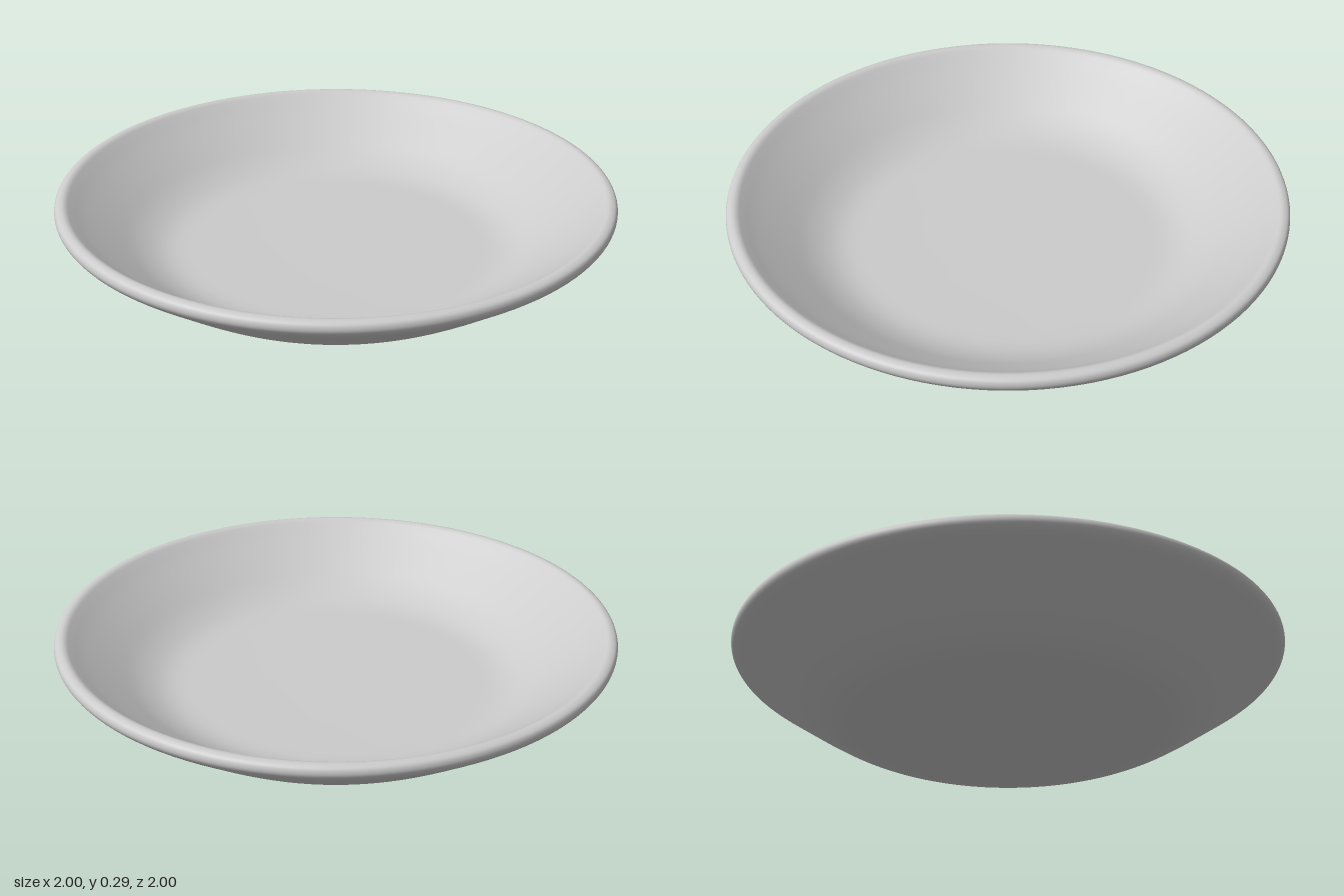
import * as THREE from 'three';

export function createModel() {
  const group = new THREE.Group();
  group.name = 'shallowDish';
  const v = ([r, y]) => new THREE.Vector2(r, y);

  // Cross-section from the base centre, up the outer wall, over the rim, down to the floor centre
  const wall = [
    [0.54, 0], [0.59, 0.003], [0.64, 0.016], [0.71, 0.05], [0.8, 0.107], [0.9, 0.176],
    [0.97, 0.225], [0.993, 0.246], [1, 0.264], [0.994, 0.282], [0.977, 0.29],
    [0.96, 0.288], [0.94, 0.274], [0.89, 0.235], [0.8, 0.171], [0.72, 0.118],
    [0.65, 0.085], [0.59, 0.07], [0.53, 0.066],
  ].map(v);
  const curve = new THREE.SplineCurve(wall);
  const profile = [v([0, 0]), v([0.3, 0]), ...curve.getPoints(72), v([0.3, 0.065]), v([0, 0.065])];

  const dish = new THREE.Mesh(
    new THREE.LatheGeometry(profile, 128),
    new THREE.MeshStandardMaterial({ color: 0xcccccc })
  );
  dish.name = 'dish';
  group.add(dish);
  return group;
}
